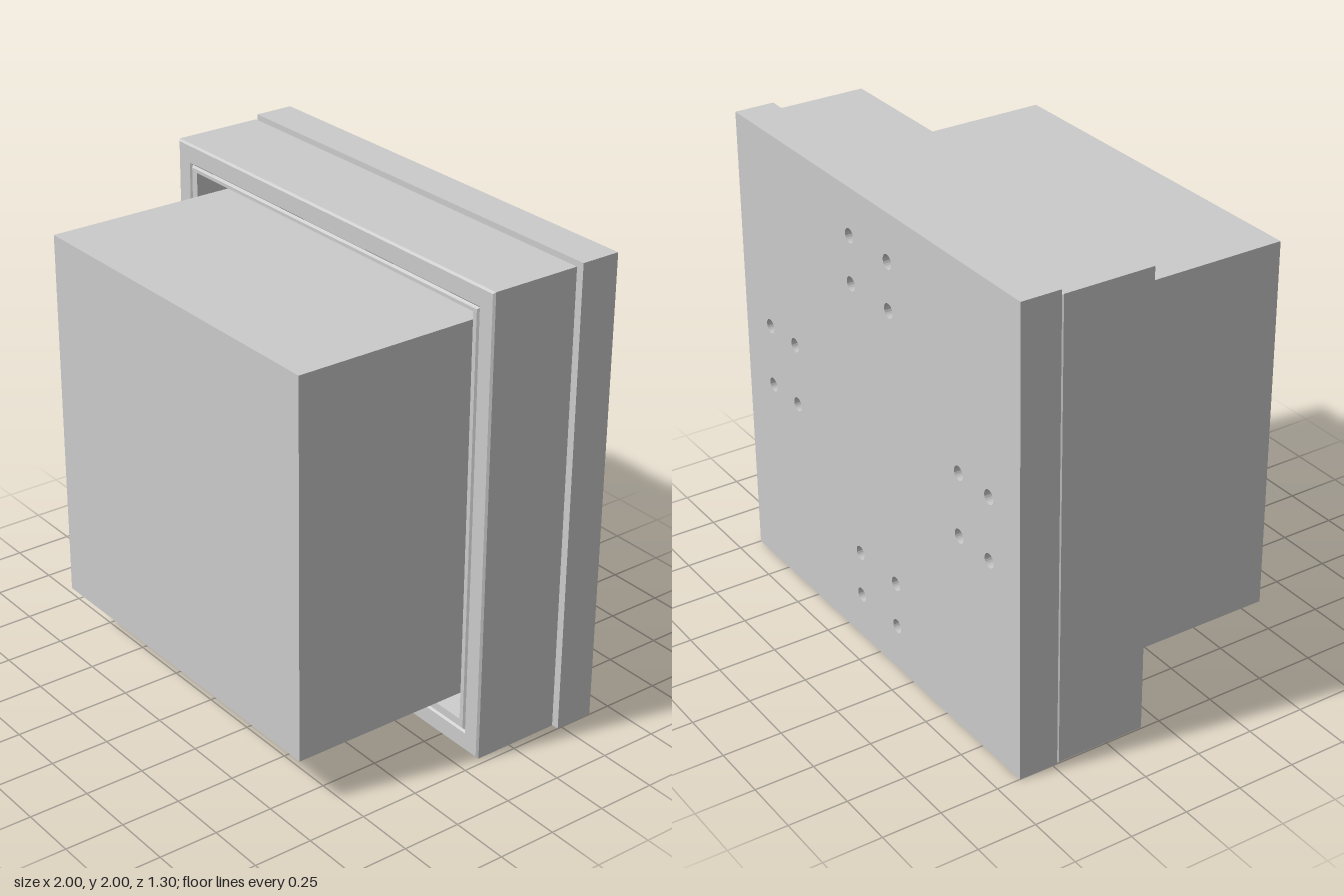
import * as THREE from 'three';

const material = new THREE.MeshStandardMaterial({ color: 0xcccccc, flatShading: true });

function add(group, name, geometry, x = 0, y = 0, z = 0) {
  const mesh = new THREE.Mesh(geometry, material);
  mesh.name = name;
  mesh.position.set(x, y, z);
  group.add(mesh);
}

// Skin a run of rectangles, each [left, right, bottom, top, z], from back to front and inward
function rectLoft(rings) {
  const corners = rings.map(([l, r, b, t, z]) => [[l, b, z], [r, b, z], [r, t, z], [l, t, z]]);
  const positions = [];
  for (let i = 0; i < corners.length - 1; i++) {
    for (let j = 0; j < 4; j++) {
      const k = (j + 1) % 4;
      const [a, b, c, d] = [corners[i][j], corners[i][k], corners[i + 1][k], corners[i + 1][j]];
      positions.push(...a, ...b, ...c, ...a, ...c, ...d);
    }
  }
  const geometry = new THREE.BufferGeometry();
  geometry.setAttribute('position', new THREE.Float32BufferAttribute(positions, 3));
  geometry.computeVertexNormals();
  return geometry;
}

export function createModel() {
  const group = new THREE.Group();

  // Rear slab: solid front layer, drilled back layer
  const holeDepth = 0.1;
  add(group, 'backPlate', new THREE.BoxGeometry(2, 2, 0.07), 0, 1, -0.515);

  const face = new THREE.Shape([[-1, 0], [1, 0], [1, 2], [-1, 2]].map(p => new THREE.Vector2(...p)));
  const drill = (x, y) => {
    const hole = new THREE.Path();
    hole.absarc(x, y, 0.03, 0, Math.PI * 2, true);
    face.holes.push(hole);
  };
  // Four clusters of four screw holes
  for (const side of [-1, 1]) {
    for (const inset of [0.6, 0.8]) {
      for (const offset of [-0.135, 0.135]) {
        drill(offset, 1 + side * inset);
        drill(side * inset, 1 + offset);
      }
    }
  }
  add(group, 'drilledBackPlate', new THREE.ExtrudeGeometry(face, {
    depth: holeDepth, bevelEnabled: false, curveSegments: 10,
  }), 0, 0, -0.65);

  // Frame: bevelled rim, shallow V groove and a tapered opening
  const front = -0.08, back = -0.48;
  add(group, 'frame', rectLoft([
    [-0.99, 0.967, 0.013, 1.972, back],
    [-1, 0.975, 0.005, 1.98, back + 0.008],
    [-1, 0.975, 0.005, 1.98, front - 0.008],
    [-0.992, 0.967, 0.013, 1.972, front],
    [-0.92, 0.9, 0.085, 1.9, front],
    [-0.912, 0.892, 0.093, 1.892, front - 0.01],
    [-0.904, 0.884, 0.101, 1.884, front],
    [-0.87, 0.865, 0.135, 1.87, front],
    [-0.85, 0.85, 0.157, 1.85, back],
  ]));

  // Protruding block, seated on the rear slab
  add(group, 'frontBlock', new THREE.BoxGeometry(1.6, 1.6, 1.13), 0, 1, 0.085);

  return group;
}
